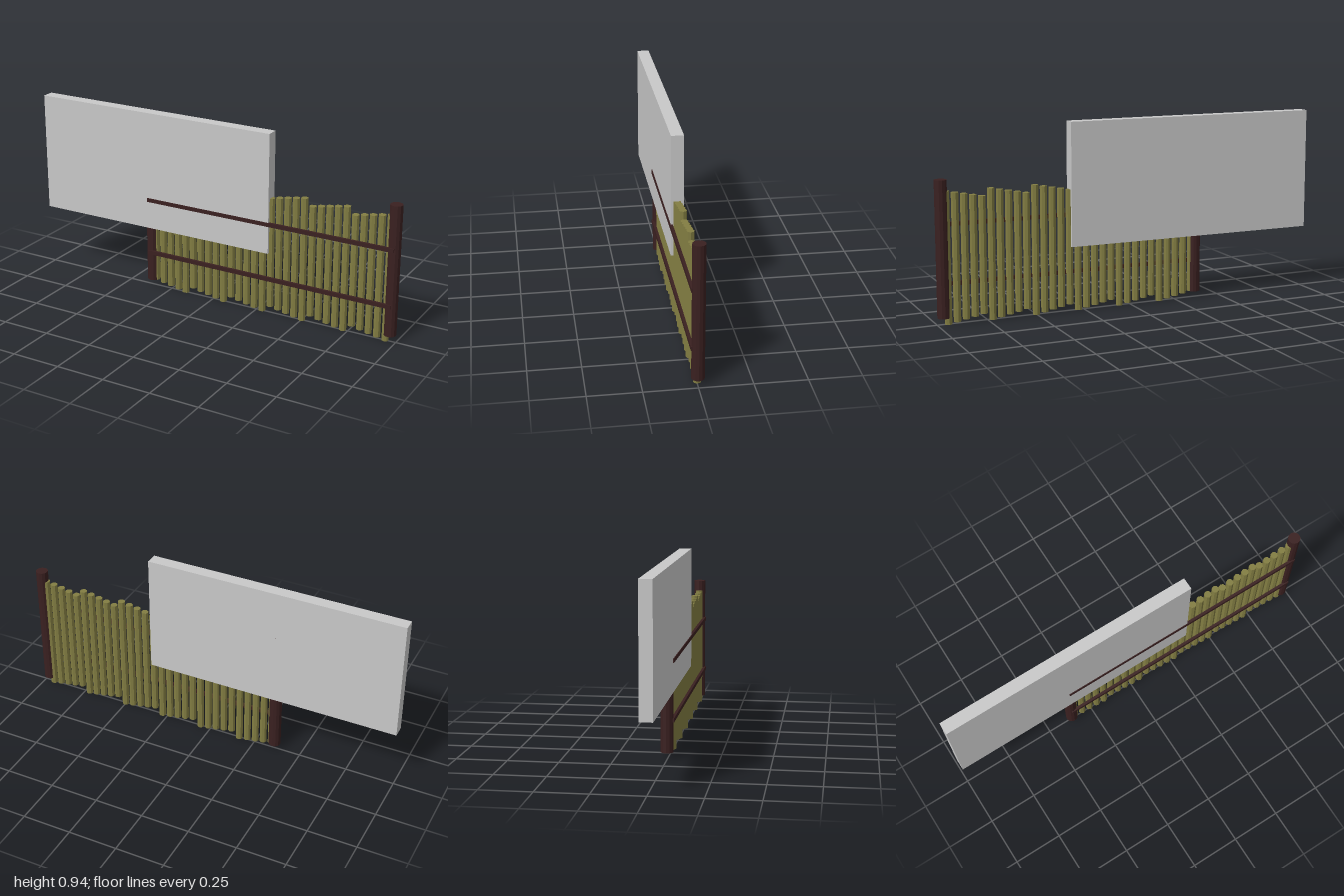
import * as THREE from 'three';

export function createModel() {
  const model = new THREE.Group();
  model.name = 'fencePanel';

  const material = (name, color, flatShading = false) => {
    const m = new THREE.MeshStandardMaterial({ color, flatShading });
    m.name = name;
    return m;
  };
  const darkWood = material('dark wood', 0x3a2020, true);
  const oliveWood = material('olive wood', 0x827d42, true);
  const grey = material('light grey', 0xc8c8c8);

  const Z = -0.002; // depth centre line of the fence

  const add = (name, geometry, mat, x, y, z, parent = model) => {
    const mesh = new THREE.Mesh(geometry, mat);
    mesh.name = name;
    mesh.position.set(x, y, z);
    parent.add(mesh);
    return mesh;
  };

  // Plain slab overlapping the upper left of the fence
  add('slab', new THREE.BoxGeometry(1.322, 0.615, 0.062), grey, -0.339, 0.6325, Z);

  // End posts
  const postGeometry = new THREE.CylinderGeometry(0.031, 0.031, 0.664, 12);
  add('rightPost', postGeometry, darkWood, -0.362, 0.365, Z);
  add('leftPost', postGeometry, darkWood, 0.968, 0.365, Z);

  // Horizontal rails across the front
  const railGeometry = new THREE.BoxGeometry(1.35, 0.02, 0.014);
  add('lowerRail', railGeometry, darkWood, 0.303, 0.19, 0.026);
  add('upperRail', railGeometry, darkWood, 0.303, 0.478, 0.026);

  // Thirty round pickets, lengthening in repeating runs of five
  const pickets = new THREE.Group();
  pickets.name = 'pickets';
  model.add(pickets);
  for (let i = 0; i < 30; i++) {
    const length = 0.574 + (i % 5) * 0.017;
    const geometry = new THREE.CylinderGeometry(0.0185, 0.0185, length, 8);
    add('picket', geometry, oliveWood, -0.343 + i * 0.0444, 0.321, Z, pickets);
  }

  return model;
}
